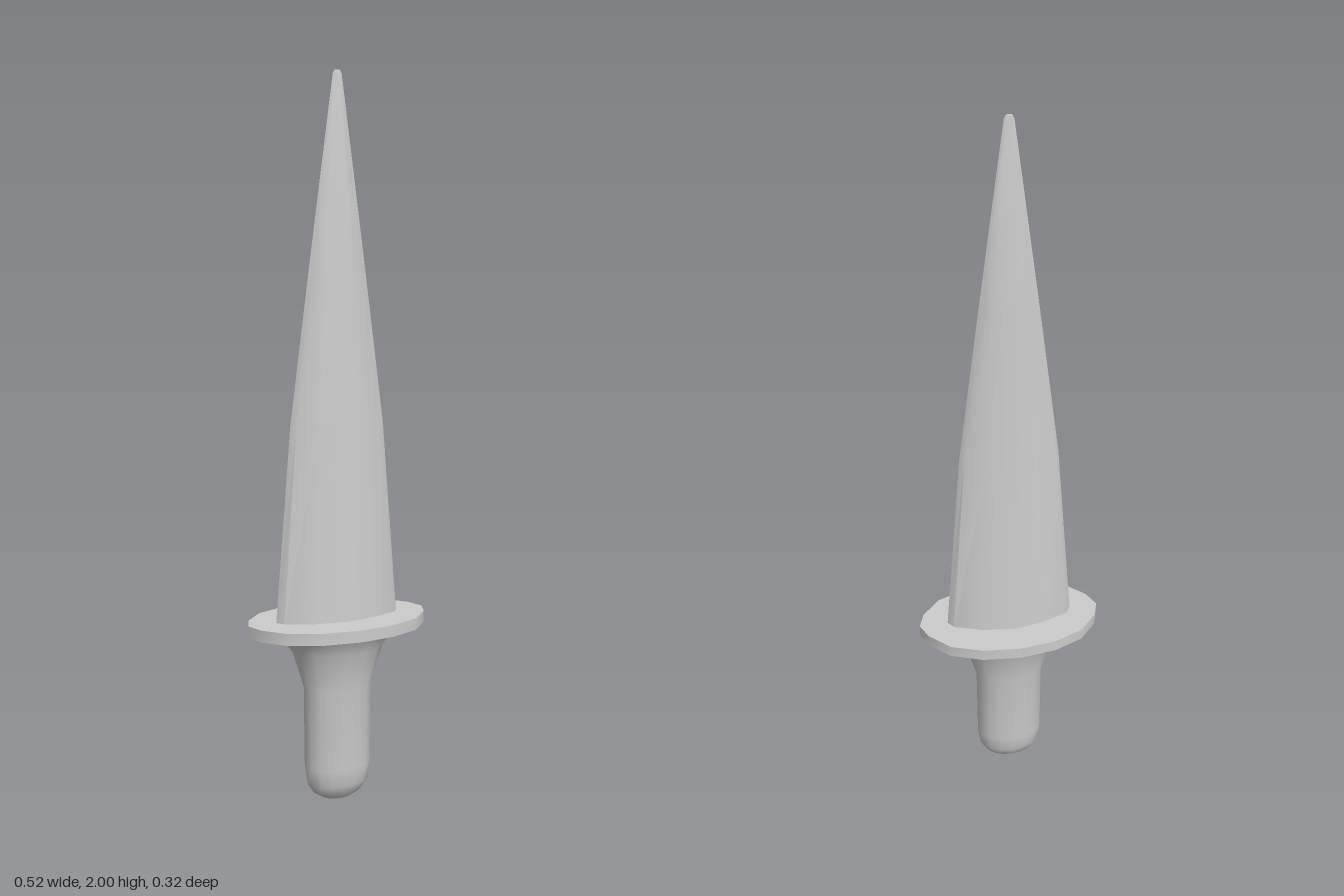
import * as THREE from 'three';
import { toCreasedNormals } from 'three/addons/utils/BufferGeometryUtils.js';

const material = new THREE.MeshStandardMaterial({ color: 0xcccccc });

// Mirror a quarter outline, from (0, z) to (x, 0), into a full closed ring of [x, z]
function mirrorQuarter(quarter) {
  const half = [...quarter, ...quarter.slice(0, -1).reverse().map(([x, z]) => [x, -z])];
  return [...half, ...half.slice(1, -1).reverse().map(([x, z]) => [-x, z])];
}

// Skin a unit outline over levels of [y, half width, half depth], capping both ends
function loft(name, outline, levels, crease) {
  const n = outline.length, positions = [], index = [];
  for (const [y, w, d] of levels) for (const [x, z] of outline) positions.push(x * w, y, z * d);
  for (let r = 0; r < levels.length - 1; r++) {
    for (let i = 0; i < n; i++) {
      const j = (i + 1) % n, a = r * n + i, b = r * n + j;
      index.push(a, b, b + n, a, b + n, a + n);
    }
  }
  const top = (levels.length - 1) * n, centre = levels.length * n;
  positions.push(0, levels[0][0], 0, 0, levels[levels.length - 1][0], 0);
  for (let i = 0; i < n; i++) {
    const j = (i + 1) % n;
    index.push(centre, j, i, centre + 1, top + i, top + j);
  }
  const geometry = new THREE.BufferGeometry();
  geometry.setAttribute('position', new THREE.Float32BufferAttribute(positions, 3));
  geometry.setIndex(index);
  const mesh = new THREE.Mesh(toCreasedNormals(geometry, crease), material);
  mesh.name = name;
  return mesh;
}

export function createModel() {
  const model = new THREE.Group();
  model.name = 'dagger';

  // Lens-shaped blade tapering to a narrow tip
  const lens = mirrorQuarter([[0, 1], [0.484, 0.8], [0.917, 0.35], [1, 0]]);
  model.add(loft('blade', lens, [
    [0.52, 0.182, 0.068], [1.07, 0.137, 0.041], [1.5, 0.08, 0.021], [1.99, 0.013, 0.004], [2, 0.008, 0.003],
  ], 0.7));

  // Thin oval guard
  const oval = mirrorQuarter([[0, 1], [0.4, 0.92], [0.725, 0.695], [0.93, 0.32], [1, 0]]);
  model.add(loft('guard', oval, [[0.497, 0.262, 0.158], [0.53, 0.262, 0.158]], 0.5));

  // Oval grip with a rounded end, flaring out under the guard
  const ellipse = [];
  for (let i = 0; i < 16; i++) {
    const a = (i / 16) * Math.PI * 2;
    ellipse.push([Math.sin(a), Math.cos(a)]);
  }
  model.add(loft('grip', ellipse, [
    [0, 0.012, 0.008], [0.006, 0.042, 0.026], [0.022, 0.07, 0.043], [0.05, 0.089, 0.055], [0.1, 0.097, 0.06],
    [0.33, 0.099, 0.062], [0.44, 0.133, 0.085], [0.475, 0.158, 0.1], [0.5, 0.186, 0.118],
  ], 1));

  return model;
}
